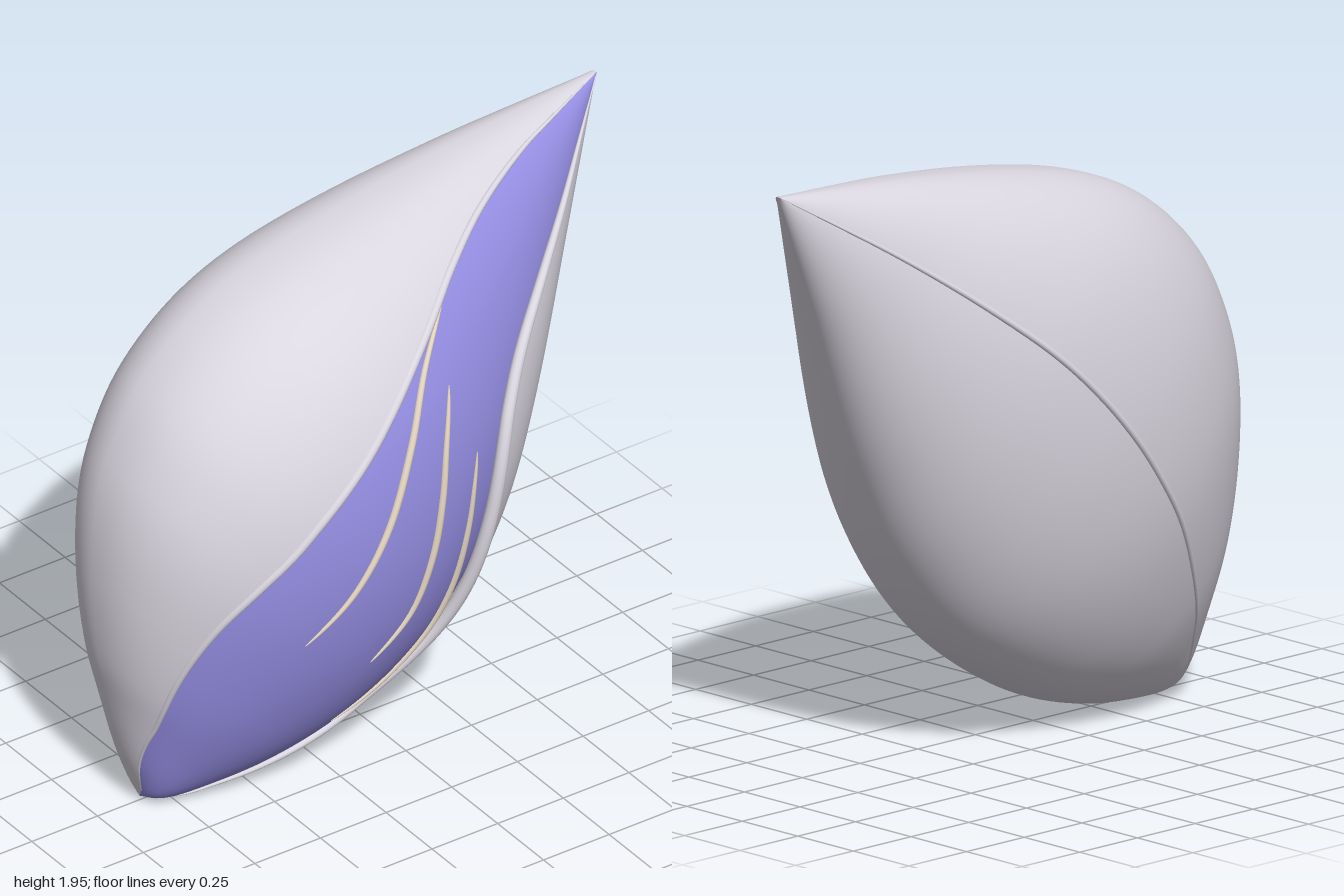
import * as THREE from 'three';

// Bud axis runs from the base to the tip; s is measured along it, u across it
const BASE = [-0.84, 0.02], AX = 0.688, AY = 0.7257, LEN = 2.67;
const toSU = ([x, y]) => {
  const dx = x - BASE[0], dy = y - BASE[1];
  return [dx * AX + dy * AY, dx * AY - dy * AX];
};

// Smooth lookup through points ordered by their first coordinate
function profile(pts) {
  const line = new THREE.SplineCurve(pts.map(p => new THREE.Vector2(...p))).getPoints(500);
  return s => {
    if (s <= line[0].x) return line[0].y;
    const i = line.findIndex(p => p.x >= s);
    if (i < 0) return line[line.length - 1].y;
    const a = line[i - 1], b = line[i];
    return a.y + (b.y - a.y) * (s - a.x) / (b.x - a.x || 1);
  };
}

// Outline on the upper and lower flanks
const upperU = profile([[-0.84, 0.02], [-0.9, 0.2], [-0.95, 0.42], [-0.985, 0.6], [-1, 0.85], [-0.98, 1.1],
  [-0.92, 1.3], [-0.8, 1.5], [-0.6, 1.67], [-0.35, 1.78], [0, 1.855], [0.4, 1.908], [0.7, 1.934], [1, 1.955]].map(toSU));
const lowerU = profile([[-0.84, 0.02], [-0.7, 0.005], [-0.4, 0.038], [-0.1, 0.14], [0.2, 0.35], [0.42, 0.635],
  [0.6, 0.995], [0.8, 1.49], [1, 1.955]].map(toSU));
// Front and back bulge
const frontZ = profile([[0, 0], [0.04, 0.08], [0.15, 0.165], [0.4, 0.31], [0.75, 0.44], [1.1, 0.482],
  [1.46, 0.43], [1.8, 0.3], [2.2, 0.11], [LEN, -0.14]]);
const backZ = profile([[0, 0], [0.04, -0.08], [0.15, -0.17], [0.4, -0.32], [0.75, -0.445], [1.1, -0.495],
  [1.46, -0.485], [1.8, -0.425], [2.2, -0.31], [LEN, -0.16]]);

// Point on the bud: angle 0 is the lower flank, PI/2 the front, PI the upper flank.
// k shrinks the section, lift raises the front side
function budPoint(s, a, k = 1, lift = 0) {
  const lo = upperU(s), hi = lowerU(s), z0 = -0.15 * s / LEN;
  const u = (lo + hi) / 2 + Math.cos(a) * k * (hi - lo) / 2;
  const sn = Math.sin(a);
  const front = frontZ(s) + lift * Math.sin(Math.PI * Math.min(1, s / LEN));
  const z = z0 + k * (sn > 0 ? sn ** 0.88 * (front - z0) : -sn * (backZ(s) - z0));
  return new THREE.Vector3(BASE[0] + s * AX + u * AY, BASE[1] + s * AY - u * AX, z);
}
const acrossAt = ([x, y]) => {
  const [s, u] = toSU([x, y]), lo = upperU(s), hi = lowerU(s);
  return [s, THREE.MathUtils.clamp((2 * u - lo - hi) / (hi - lo), -0.985, 0.985)];
};
const edge = pts => { const w = profile(pts.map(acrossAt)); return s => Math.acos(w(s)); };

// Borders of the open front and the seam down the back
const upperEdge = edge([[-0.89, 0.2], [-0.89, 0.4], [-0.87, 0.6], [-0.8, 0.8], [-0.67, 0.975], [-0.52, 1.125],
  [-0.27, 1.35], [0, 1.575], [0.2, 1.72], [0.4, 1.82], [0.65, 1.893]]);
const lowerEdge = edge([[-0.7, 0.035], [-0.5, 0.075], [-0.2, 0.15], [-0.05, 0.23], [0.1, 0.39], [0.18, 0.58],
  [0.235, 0.85], [0.275, 1.06], [0.33, 1.23], [0.43, 1.39], [0.59, 1.55], [0.75, 1.7], [0.88, 1.835]]);
const backSeam = () => 1.5 * Math.PI;
const LIFT = 0.04, INNER = 0.975;

// Petal between two border angles, from base to tip
function petalGeometry(from, to, k, lift, nv) {
  const nu = 100, pos = [], idx = [];
  for (let i = 0; i <= nu; i++) {
    const s = LEN * (1 - Math.cos(Math.PI * i / nu)) / 2, a = from(s), b = to(s);
    for (let j = 0; j <= nv; j++) pos.push(...budPoint(s, a + (b - a) * j / nv, k, lift).toArray());
  }
  for (let i = 0; i < nu; i++) for (let j = 0; j < nv; j++) {
    const p = i * (nv + 1) + j, q = p + nv + 1;
    idx.push(p, q, p + 1, p + 1, q, q + 1);
  }
  const g = new THREE.BufferGeometry();
  g.setAttribute('position', new THREE.Float32BufferAttribute(pos, 3));
  g.setIndex(idx);
  g.computeVertexNormals();
  return g;
}

// Tube that thins out to both ends
function taperedTube(points, radius, n, power) {
  const curve = new THREE.CatmullRomCurve3(points), sides = 12;
  const g = new THREE.TubeGeometry(curve, n, radius, sides), p = g.attributes.position;
  const v = new THREE.Vector3();
  for (let i = 0; i <= n; i++) {
    const c = curve.getPointAt(i / n), k = Math.max(0.1, Math.sin(Math.PI * i / n) ** power);
    for (let j = 0; j <= sides; j++) {
      const id = i * (sides + 1) + j;
      v.fromBufferAttribute(p, id).sub(c).multiplyScalar(k).add(c);
      p.setXYZ(id, v.x, v.y, v.z);
    }
  }
  return g;
}
const along = (angle, k) => Array.from({ length: 40 }, (_, i) => {
  const s = 0.02 + (LEN - 0.03) * i / 39;
  return budPoint(s, angle(s), k, LIFT);
});

export function createModel() {
  const group = new THREE.Group();
  const material = (name, color) => {
    const m = new THREE.MeshStandardMaterial({ color, side: THREE.DoubleSide });
    m.name = name;
    return m;
  };
  const pale = material('pale grey', 0xdad6e0);
  const violet = material('violet', 0x958ee3);
  const beige = material('beige', 0xe2d4be);
  const add = (name, geometry, mat) => {
    const mesh = new THREE.Mesh(geometry, mat);
    mesh.name = name;
    group.add(mesh);
  };

  // Two outer petals meet down the back; the inner one runs under their front borders
  add('upperPetal', petalGeometry(upperEdge, backSeam, 1, LIFT, 50), pale);
  add('lowerPetal', petalGeometry(s => backSeam() - 2 * Math.PI, lowerEdge, 1, LIFT, 50), pale);
  add('innerPetal', petalGeometry(s => Math.max(0, lowerEdge(s) - 0.08),
    s => Math.min(Math.PI, upperEdge(s) + 0.08), INNER, 0, 44), violet);

  // Rolled rims and raised seam
  add('upperRim', taperedTube(along(upperEdge, 0.985), 0.017, 140, 0.7), pale);
  add('lowerRim', taperedTube(along(lowerEdge, 0.985), 0.023, 140, 0.9), pale);
  add('backSeam', taperedTube(along(backSeam, 0.995), 0.012, 140, 0.6), pale);

  // Veins lying on the inner petal
  const veins = [
    [[-0.5, 0.68], [-0.35, 0.83], [-0.22, 1.03], [-0.1, 1.28], [0, 1.47], [0.15, 1.64]],
    [[-0.23, 0.5], [-0.1, 0.65], [-0.03, 0.85], [0.01, 1.05], [0.04, 1.22], [0.09, 1.4]],
    [[-0.28, 0.22], [-0.1, 0.32], [0.03, 0.46], [0.1, 0.63], [0.14, 0.85], [0.16, 1], [0.18, 1.13]],
  ];
  veins.forEach((pts, i) => {
    const flat = new THREE.SplineCurve(pts.map(p => new THREE.Vector2(...p))).getPoints(30);
    const path = flat.map(p => {
      const [s, w] = acrossAt([p.x, p.y]);
      // keep the drawn position while sinking to the inner petal's depth
      const z = budPoint(s, Math.acos(THREE.MathUtils.clamp(w / INNER, -1, 1)), INNER).z;
      return new THREE.Vector3(p.x, p.y, z + 0.001);
    });
    add('vein' + (i + 1), taperedTube(path, 0.013, 60, 0.45), beige);
  });
  return group;
}
